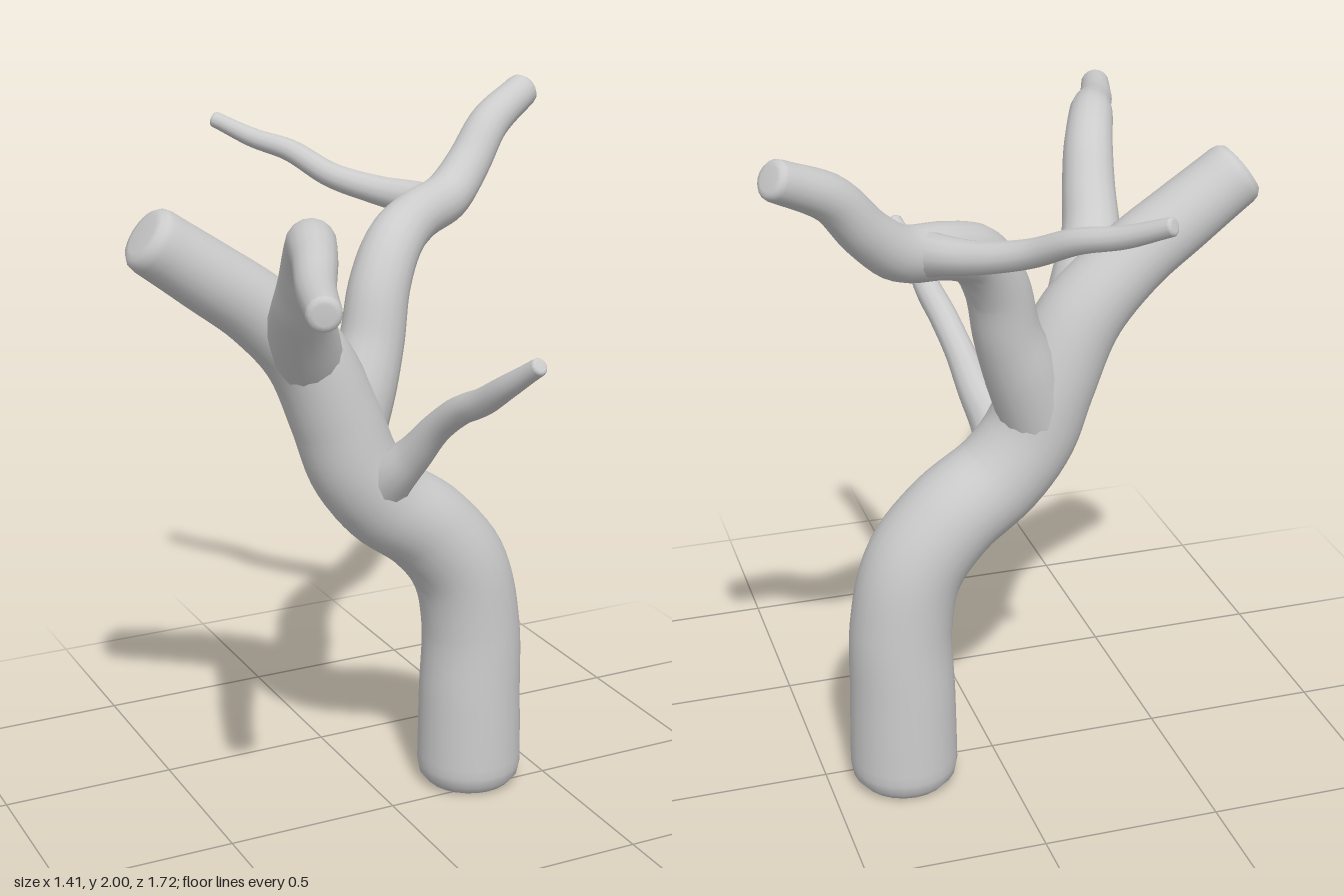
import * as THREE from 'three';

const material = new THREE.MeshStandardMaterial({ color: 0xcccccc });

// Tapered limb swept through points [x, y, z, radius], with bevelled ends
function limb(name, points, steps, sides) {
  const path = new THREE.CatmullRomCurve3(points.map(p => new THREE.Vector3(p[0], p[1], p[2])));
  const taper = new THREE.SplineCurve(points.map(p => new THREE.Vector2(p[3], 0)));
  const frames = path.computeFrenetFrames(steps, false);
  const positions = [], index = [];
  let rings = 0;

  // One ring at step i, scaled and pushed outwards along the path
  function addRing(i, scale, push) {
    const u = i / steps;
    const r = taper.getPoint(path.getUtoTmapping(u)).x;
    const centre = path.getPointAt(u).addScaledVector(frames.tangents[i], push * r);
    for (let j = 0; j < sides; j++) {
      const a = j / sides * Math.PI * 2;
      const v = centre.clone()
        .addScaledVector(frames.normals[i], Math.cos(a) * r * scale)
        .addScaledVector(frames.binormals[i], Math.sin(a) * r * scale);
      positions.push(v.x, v.y, v.z);
    }
    rings++;
  }

  const bevel = [[0.96, 0.2], [0.82, 0.36], [0.6, 0.4], [0.001, 0.4]];
  for (const [s, d] of [...bevel].reverse()) addRing(0, s, -d);
  for (let i = 0; i <= steps; i++) addRing(i, 1, 0);
  for (const [s, d] of bevel) addRing(steps, s, d);

  for (let i = 0; i < rings - 1; i++) {
    for (let j = 0; j < sides; j++) {
      const k = (j + 1) % sides;
      const a = i * sides + j, b = i * sides + k;
      const c = a + sides, d = b + sides;
      index.push(a, b, c, b, d, c);
    }
  }
  const geometry = new THREE.BufferGeometry();
  geometry.setAttribute('position', new THREE.Float32BufferAttribute(positions, 3));
  geometry.setIndex(index);
  geometry.computeVertexNormals();
  const mesh = new THREE.Mesh(geometry, material);
  mesh.name = name;
  return mesh;
}

export function createModel() {
  const tree = new THREE.Group();
  tree.name = 'bareTree';

  // Trunk, bending over into the thick stub on the right
  tree.add(limb('trunk', [
    [0.285, 0.06, -0.07, 0.152], [0.285, 0.28, -0.07, 0.148], [0.285, 0.5, -0.07, 0.142],
    [0.245, 0.68, -0.07, 0.14], [0.14, 0.815, -0.07, 0.135], [0, 0.92, -0.065, 0.13],
    [-0.085, 1.03, -0.065, 0.128], [-0.14, 1.18, -0.07, 0.125], [-0.225, 1.36, -0.07, 0.115],
    [-0.36, 1.5, -0.07, 0.102], [-0.5, 1.605, -0.07, 0.096], [-0.64, 1.707, -0.07, 0.09],
  ], 70, 24));

  // Branch reaching up and back on the left
  tree.add(limb('leftBranch', [
    [-0.1, 1.08, -0.09, 0.1], [-0.045, 1.24, -0.11, 0.1], [0.0, 1.36, -0.13, 0.09],
    [0.035, 1.5, -0.155, 0.085], [0.1, 1.605, -0.2, 0.08], [0.2, 1.655, -0.27, 0.073],
    [0.34, 1.69, -0.345, 0.07], [0.43, 1.765, -0.39, 0.064], [0.52, 1.87, -0.43, 0.058],
    [0.66, 1.947, -0.49, 0.05],
  ], 50, 18));

  // Branch arching towards the front
  tree.add(limb('frontBranch', [
    [-0.23, 1.36, -0.05, 0.1], [-0.275, 1.45, 0.02, 0.095], [-0.31, 1.53, 0.1, 0.08],
    [-0.33, 1.62, 0.18, 0.073], [-0.355, 1.71, 0.26, 0.068], [-0.4, 1.765, 0.37, 0.062],
    [-0.45, 1.755, 0.5, 0.055], [-0.515, 1.73, 0.65, 0.048], [-0.58, 1.722, 0.835, 0.042],
  ], 46, 16));

  // Thin twig at the back
  tree.add(limb('backTwig', [
    [0.28, 1.67, -0.31, 0.065], [0.25, 1.685, -0.375, 0.052], [0.18, 1.7, -0.46, 0.042],
    [0.08, 1.735, -0.56, 0.036], [0, 1.795, -0.67, 0.032], [-0.08, 1.825, -0.755, 0.028],
    [-0.16, 1.87, -0.84, 0.023],
  ], 36, 12));

  // Thin twig at the front
  tree.add(limb('frontTwig', [
    [-0.03, 0.97, -0.03, 0.085], [-0.015, 1.03, 0.035, 0.068], [0.015, 1.1, 0.1, 0.052],
    [0.04, 1.19, 0.18, 0.042], [0.06, 1.26, 0.27, 0.04], [0.075, 1.305, 0.36, 0.038],
    [0.09, 1.37, 0.46, 0.032], [0.12, 1.445, 0.565, 0.024],
  ], 36, 12));

  return tree;
}
